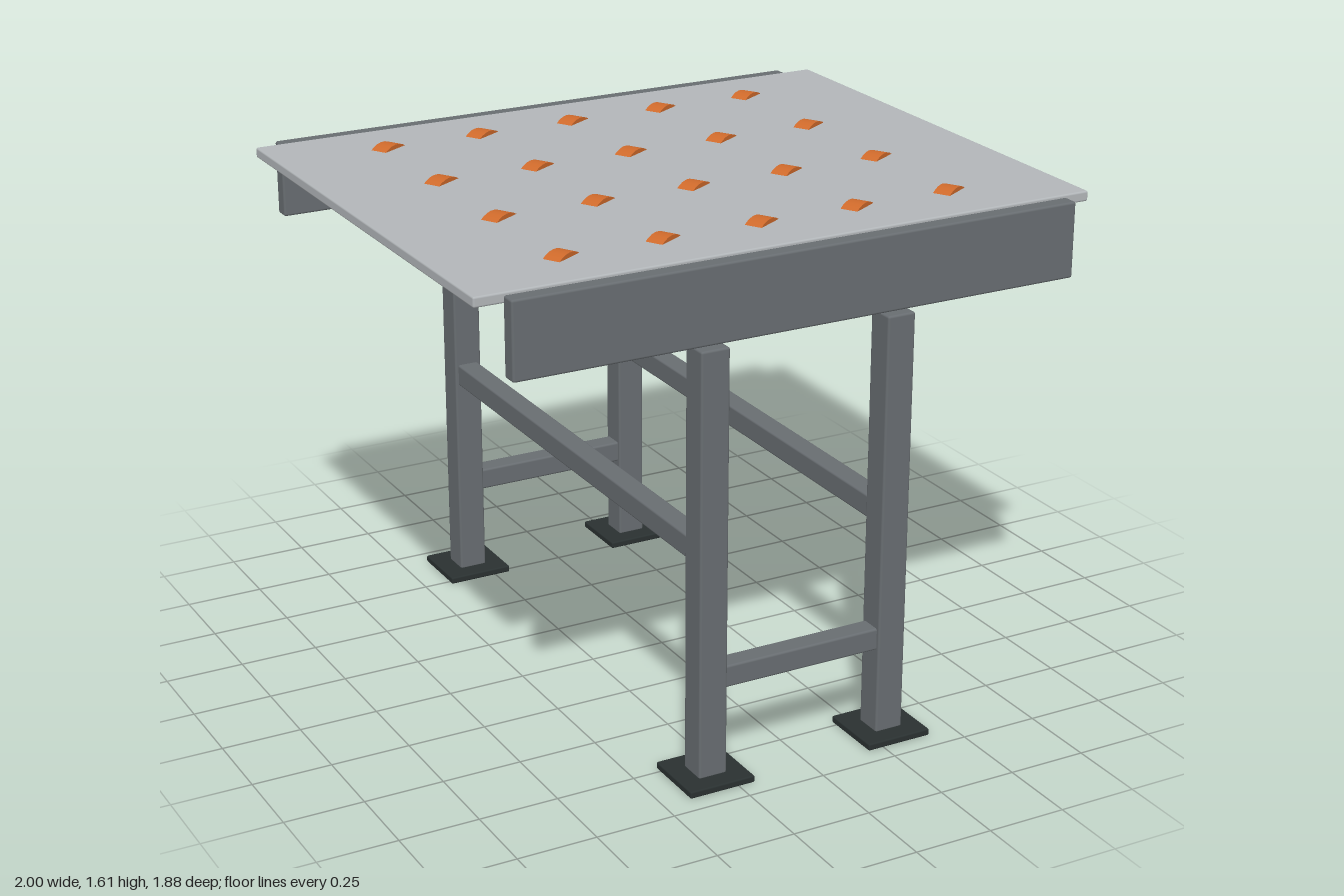
import * as THREE from 'three';
import { RoundedBoxGeometry } from 'three/addons/geometries/RoundedBoxGeometry.js';

const material = (name, color) => {
  const m = new THREE.MeshStandardMaterial({ color });
  m.name = name;
  return m;
};

export function createModel() {
  const model = new THREE.Group();
  model.name = 'transferTable';

  const frameGrey = material('frame grey', 0x686d71);
  const plateGrey = material('plate grey', 0xb2b6b9);
  const footBlack = material('foot black', 0x2a3131);
  const wheelOrange = material('wheel orange', 0xcf6a2b);

  const add = (name, geometry, mat, x, y, z) => {
    const mesh = new THREE.Mesh(geometry, mat);
    mesh.name = name;
    mesh.position.set(x, y, z);
    model.add(mesh);
    return mesh;
  };
  // Box with slightly softened edges
  const box = (w, h, d, r = 0.007) => new RoundedBoxGeometry(w, h, d, 2, r);

  const legX = 0.305, legZ = 0.833;

  // Table top
  add('topPlate', box(2, 0.032, 1.6, 0.006), plateGrey, 0, 1.581, 0);

  // Side rails, lower braces, legs and feet
  const rail = box(1.83, 0.235, 0.052);
  const lowBrace = box(0.53, 0.07, 0.07);
  const leg = box(0.092, 1.335, 0.092);
  const foot = box(0.215, 0.022, 0.212, 0.005);
  for (const sz of [-1, 1]) {
    add('sideRail', rail, frameGrey, 0, 1.474, sz * 0.831);
    add('lowerBrace', lowBrace, frameGrey, 0, 0.327, sz * legZ);
    for (const sx of [-1, 1]) {
      add('leg', leg, frameGrey, sx * legX, 0.685, sz * legZ);
      add('foot', foot, footBlack, sx * legX, 0.011, sz * legZ);
    }
  }

  // Long braces joining front and back legs
  const longBrace = box(0.07, 0.072, 1.59);
  for (const sx of [-1, 1]) add('longBrace', longBrace, frameGrey, sx * legX, 0.723, 0);

  // Support rods between the wheel columns
  const rod = new THREE.CylinderGeometry(0.03, 0.03, 1.5, 24).rotateX(Math.PI / 2);
  for (let i = 0; i < 6; i++) add('supportRod', rod, plateGrey, -0.8 + i * 0.32, 1.554, 0);

  // Angled wheels poking through the top
  const wheel = new THREE.CylinderGeometry(0.098, 0.098, 0.055, 32).rotateX(Math.PI / 2);
  for (let i = 0; i < 5; i++) {
    for (let j = 0; j < 4; j++) {
      add('wheel', wheel, wheelOrange, -0.64 + i * 0.32, 1.513, -0.6 + j * 0.4).rotation.y = Math.PI / 6;
    }
  }
  return model;
}
